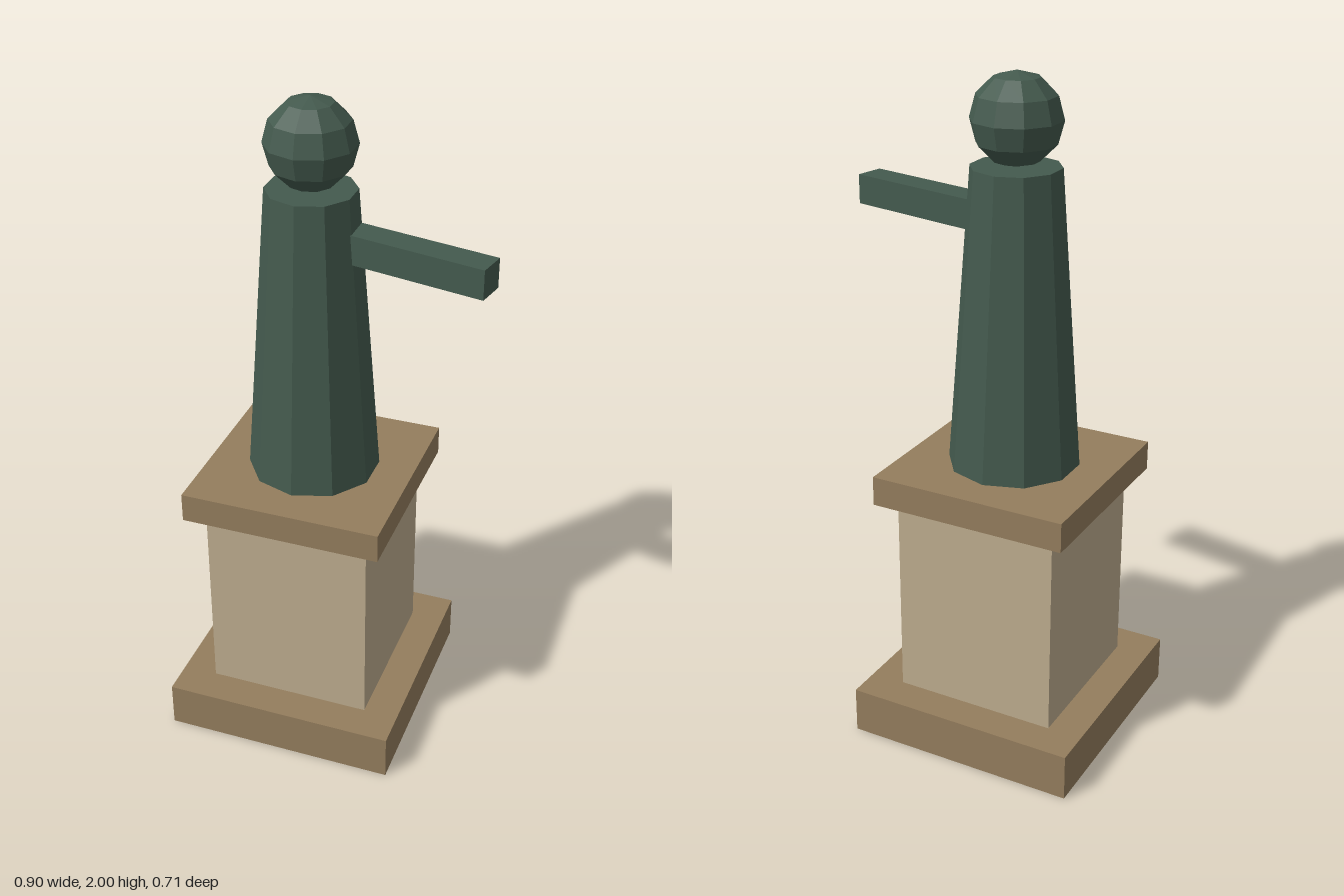
import * as THREE from 'three';

const flat = (name, color) => {
  const m = new THREE.MeshStandardMaterial({ color, flatShading: true });
  m.name = name;
  return m;
};

export function createModel() {
  const model = new THREE.Group();
  model.name = 'statueOnPedestal';
  const brown = flat('brownStone', 0x947d5d);
  const tan = flat('paleStone', 0xbdac8e);
  const green = flat('darkGreenBronze', 0x445a4e);
  const axisX = -0.095;

  const add = (name, geometry, material, x, y, z = 0) => {
    const mesh = new THREE.Mesh(geometry, material);
    mesh.name = name;
    mesh.position.set(x, y, z);
    model.add(mesh);
    return mesh;
  };

  // Square pedestal: plinth, shaft and cap, stacked upward
  const slab = (name, width, bottom, top, material) =>
    add(name, new THREE.BoxGeometry(width, top - bottom, width), material, axisX, (bottom + top) / 2);
  slab('pedestalPlinth', 0.71, 0, 0.142, brown);
  slab('pedestalShaft', 0.5, 0.142, 0.768, tan);
  slab('pedestalCap', 0.603, 0.768, 0.857, brown);

  // Ten-sided tapering figure
  add('body', new THREE.CylinderGeometry(0.13, 0.195, 0.883, 10), green, axisX, 1.2985);

  // Faceted head, turned so that its corners line up with the body's
  const head = add('head', new THREE.SphereGeometry(0.131, 10, 6), green, axisX, 1.869);
  head.rotation.y = Math.PI / 2;

  // Outstretched arm, swung slightly forward
  const arm = add('arm', new THREE.BoxGeometry(0.45, 0.087, 0.087), green, 0.217, 1.596, 0.04);
  arm.rotation.y = -0.205;

  return model;
}
